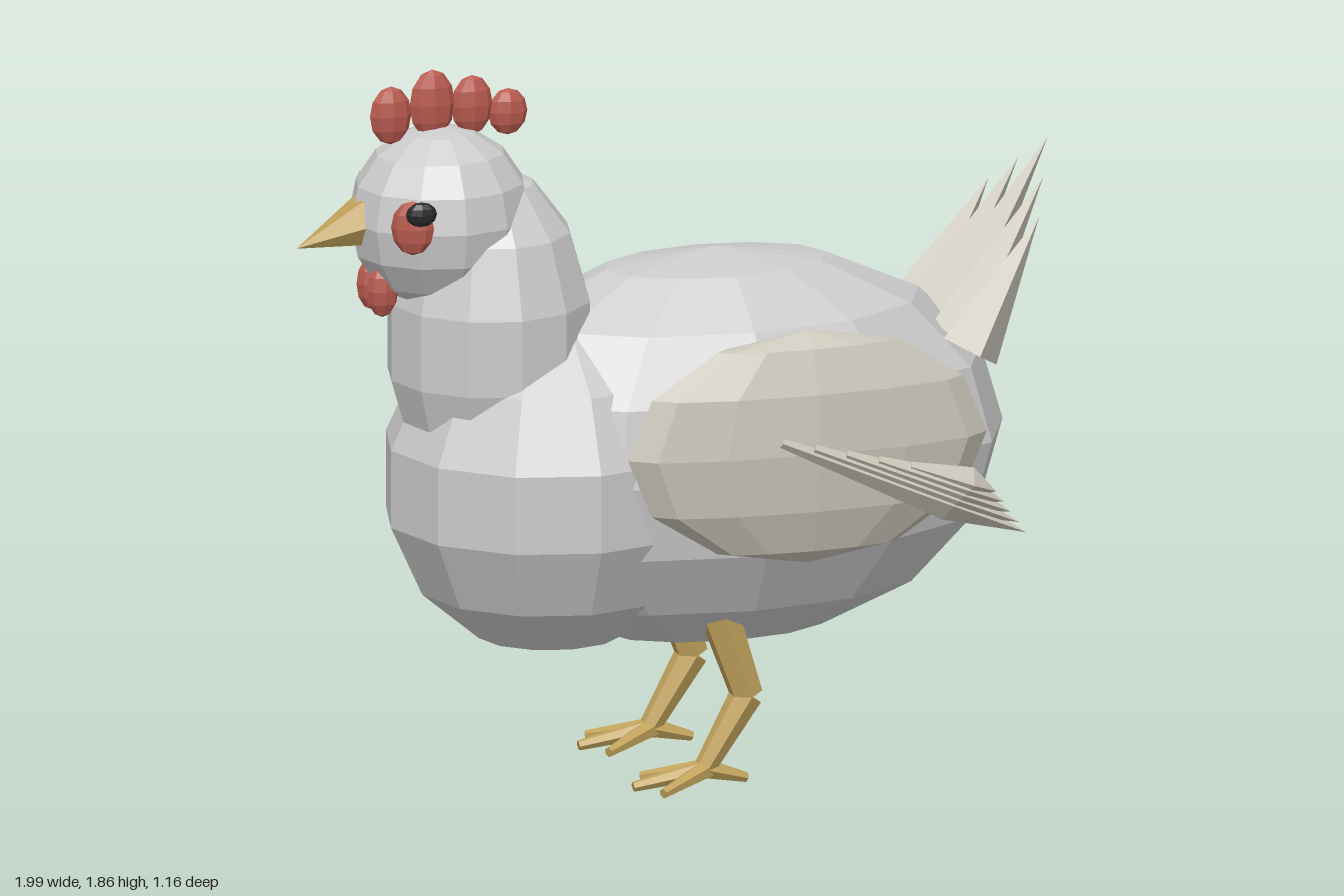
import * as THREE from 'three';

const mat = (color) => new THREE.MeshStandardMaterial({ color, flatShading: true });
const V = (x, y, z) => new THREE.Vector3(x, y, z);
const UP = V(0, 1, 0);

export function createModel() {
  const model = new THREE.Group();
  model.name = 'hen';
  const white = mat(0xcccccc), cream = mat(0xc9c4b8), red = mat(0xb85a4e);
  const yellow = mat(0xc2a35c), black = mat(0x2a2a2a);

  const add = (name, geometry, material) => {
    const mesh = new THREE.Mesh(geometry, material);
    mesh.name = name;
    model.add(mesh);
    return mesh;
  };

  // Faceted ellipsoid: centre, radii, segment counts
  const blob = (name, c, r, w, h, material) => {
    const mesh = add(name, new THREE.SphereGeometry(1, w, h), material);
    mesh.position.set(...c);
    mesh.scale.set(...r);
    return mesh;
  };

  // Tapered limb running from a to b
  const limb = (name, a, b, ra, rb, material, sides = 6) => {
    const mesh = add(name, new THREE.CylinderGeometry(rb, ra, a.distanceTo(b), sides), material);
    mesh.position.copy(a).add(b).multiplyScalar(0.5);
    mesh.quaternion.setFromUnitVectors(UP, b.clone().sub(a).normalize());
    return mesh;
  };

  // Four-sided feather from a to b, widest at fraction t of its length
  const feather = (name, a, b, r0, r, t, thin, material) => {
    const len = a.distanceTo(b);
    const pts = [[0, 0], [r0, 0], [r, len * t], [0, len]].map(([x, y]) => new THREE.Vector2(x, y));
    if (t === 0) pts.splice(1, 1);
    const mesh = add(name, new THREE.LatheGeometry(pts, 4), material);
    mesh.position.copy(a);
    mesh.quaternion.setFromUnitVectors(UP, b.clone().sub(a).normalize());
    mesh.scale.z = thin;
    return mesh;
  };

  // Trunk and head
  blob('body', [0.11, 0.83, 0], [0.76, 0.51, 0.44], 12, 8, white);
  blob('chest', [-0.33, 0.78, 0], [0.43, 0.45, 0.42], 12, 7, white);
  blob('neck', [-0.49, 1.16, 0], [0.265, 0.44, 0.27], 12, 7, white);
  blob('head', [-0.62, 1.48, 0], [0.235, 0.235, 0.215], 12, 8, white);
  limb('beak', V(-0.8, 1.49, 0), V(-1, 1.425, 0), 0.075, 0, yellow);

  // Comb
  [[-0.75, 1.75, 0.055, 0.075], [-0.64, 1.77, 0.06, 0.09],
    [-0.535, 1.76, 0.055, 0.077], [-0.44, 1.735, 0.052, 0.06]].forEach(([x, y, rx, ry]) =>
    blob('combLobe', [x, y, 0], [rx, ry, 0.028], 8, 6, red));

  // Tail fan
  for (let i = -2; i <= 2; i++) {
    const k = Math.abs(i);
    feather('tailFeather', V(0.72 - 0.005 * k, 1.09 - 0.01 * k, 0.11 * i),
      V(0.99 - 0.045 * k, 1.55 - 0.075 * k, 0.1 * i), 0, 0.08, 0, 0.95, cream);
  }

  for (const s of [1, -1]) {
    const side = s > 0 ? 'Far' : 'Near';
    // Face
    blob('wattle' + side, [-0.785, 1.31, 0.04 * s], [0.042, 0.07, 0.03], 8, 6, red);
    blob('eyePatch' + side, [-0.75, 1.5, 0.172 * s], [0.055, 0.07, 0.025], 8, 6, red).rotation.y = -0.5 * s;
    blob('eye' + side, [-0.735, 1.54, 0.197 * s], [0.04, 0.032, 0.02], 8, 6, black).rotation.y = -0.15 * s;

    // Wing with overlapping flight feathers
    blob('wing' + side, [0.205, 0.922, 0.44 * s], [0.475, 0.302, 0.095], 12, 6, cream);
    for (let i = 0; i < 5; i++) {
      feather('flightFeather' + side, V(0.1 + 0.085 * i, 0.965 - 0.022 * i, 0.55 * s),
        V(0.76 - 0.022 * i, 0.67 + 0.03 * i, (0.515 + 0.006 * i) * s), 0.012, 0.042, 0.68, 0.9, cream);
    }

    // Leg and foot
    const z = 0.215 * s, knee = V(0.12, 0.23, z), ankle = V(0.01, 0.05, z);
    limb('thigh' + side, V(0.045, 0.45, z), knee, 0.052, 0.042, yellow);
    limb('shank' + side, knee, ankle, 0.042, 0.028, yellow);
    for (const [x, dz] of [[-0.18, 0], [-0.13, 0.09], [-0.13, -0.09], [0.12, 0]]) {
      limb('toe' + side, V(0.015, 0.045, z), V(x, 0.014, z + dz), 0.026, 0.013, yellow);
    }
  }
  return model;
}
